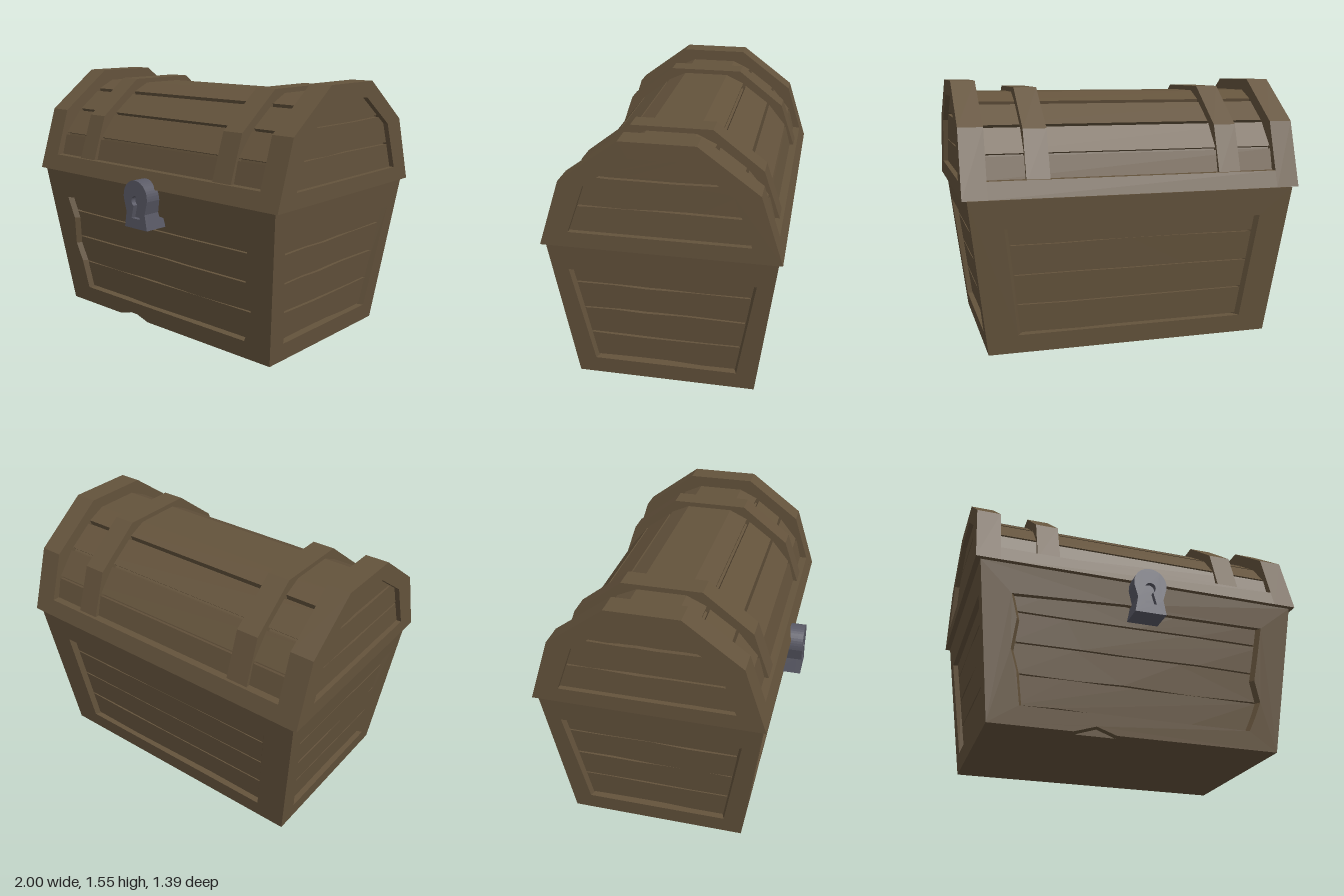
import * as THREE from 'three';

const wood = new THREE.MeshStandardMaterial({ color: 0x64533c });
wood.name = 'brown wood';
const iron = new THREE.MeshStandardMaterial({ color: 0x5a5a66 });
iron.name = 'grey iron';

const BASE_TOP = 0.915;
const SLOPE_X = 0.121, SLOPE_Z = 0.125;      // outward lean of the walls
const FOOT_X = 0.86, FOOT_Z = 0.525;         // half sizes at the ground

let seed = 7;
const jitter = (a) => {
  seed = (seed * 16807) % 2147483647;
  return (seed / 2147483647 - 0.5) * 2 * a;
};

const toShape = (pts) => new THREE.Shape(pts.map(([x, y]) => new THREE.Vector2(x, y)));
// Right half of an outline, listed bottom to top, mirrored into a full outline
const mirrored = (half) => [...half, ...half.map(([x, y]) => [-x, y]).reverse()];

function addMesh(parent, name, geometry, material = wood) {
  const mesh = new THREE.Mesh(geometry, material);
  mesh.name = name;
  parent.add(mesh);
  return mesh;
}

// Plate whose front lies at z = front + slope * y; taper mitres its inner side
function plate(shape, depth, front, slope = 0, taper = 1) {
  const geo = new THREE.ExtrudeGeometry(shape, { depth, bevelEnabled: false, curveSegments: 10 });
  const p = geo.attributes.position;
  for (let i = 0; i < p.count; i++) {
    const y = p.getY(i), z = p.getZ(i);
    if (z < depth / 2) p.setX(i, p.getX(i) * taper);
    p.setZ(i, z - depth + front + slope * y);
  }
  geo.computeVertexNormals();
  return geo;
}

// Extrudes a (z, y) outline along x
function prism(pts, x0, x1) {
  const geo = new THREE.ExtrudeGeometry(toShape(pts.map(([z, y]) => [-z, y])),
    { depth: x1 - x0, bevelEnabled: false });
  geo.rotateY(Math.PI / 2);
  geo.translate(x0, 0, 0);
  return geo;
}

// Board with uneven long edges; half(y) gives its half length
function board(y0, y1, half, knees = [], wobble = 0.012) {
  const edge = (y) => [-0.55, -0.1, 0.4].map((f) => [f * half(y) + jitter(0.08), y + jitter(wobble)]);
  const right = knees.filter((y) => y > y0 && y < y1);
  return toShape([
    [-half(y0), y0], ...edge(y0), [half(y0), y0],
    ...right.map((y) => [half(y), y]),
    [half(y1), y1], ...edge(y1).reverse(), [-half(y1), y1],
    ...right.map((y) => [-half(y), y]).reverse(),
  ]);
}

// One leaning wall: frame with an opening, and four boards set back in it
function wall(name, foot, lean, front, slope, opening, half, notch = []) {
  const g = new THREE.Group();
  g.name = name;
  const top = foot + lean * BASE_TOP;
  const frame = toShape([[-foot, 0], ...notch, [foot, 0], [top, BASE_TOP], [-top, BASE_TOP]]);
  frame.holes.push(new THREE.Path(opening.map(([x, y]) => new THREE.Vector2(x, y))));
  addMesh(g, name + 'Frame', plate(frame, 0.055, front, slope, 0.95));
  const cuts = [0.115, 0.293, 0.47, 0.65, 0.80];
  for (let i = 0; i < 4; i++) {
    const shape = board(cuts[i] + 0.005, cuts[i + 1] - 0.005, half, [], i === 3 ? 0.004 : 0.008);
    addMesh(g, name + 'Board', plate(shape, 0.025, front - 0.03, slope));
  }
  return g;
}

function buildBase() {
  const base = new THREE.Group();
  base.name = 'base';

  // Solid core behind the boards
  const core = new THREE.BoxGeometry(2, BASE_TOP, 2).toNonIndexed();
  core.translate(0, BASE_TOP / 2, 0);
  const p = core.attributes.position;
  for (let i = 0; i < p.count; i++) {
    const y = p.getY(i);
    p.setX(i, p.getX(i) * (FOOT_X - 0.05 + SLOPE_X * y));
    p.setZ(i, p.getZ(i) * (FOOT_Z - 0.05 + SLOPE_Z * y));
  }
  core.computeVertexNormals();
  addMesh(base, 'baseCore', core);

  const longHalf = (y) => 0.70 + 0.12 * y;
  const shortHalf = (y) => 0.42 + 0.165 * y;
  const worn = [[-0.69, 0.11], [0.685, 0.11], [0.72, 0.19], [0.757, 0.29], [0.72, 0.42], [0.745, 0.58],
    [0.77, 0.755], [0.12, 0.75], [-0.1, 0.775], [-0.78, 0.74], [-0.74, 0.6], [-0.76, 0.42], [-0.72, 0.3]];
  const chip = [[-0.38, 0], [-0.25, 0.04], [-0.13, 0]];
  const longOpening = mirrored([[0.69, 0.11], [0.77, 0.75]]);
  const shortOpening = mirrored([[0.385, 0.11], [0.42, 0.11], [0.525, 0.75]].slice(1));

  base.add(wall('frontWall', FOOT_X, SLOPE_X, FOOT_Z, SLOPE_Z, worn, longHalf, chip));
  const back = wall('backWall', FOOT_X, SLOPE_X, FOOT_Z, SLOPE_Z, longOpening, longHalf);
  back.rotation.y = Math.PI;
  base.add(back);
  for (const [name, s] of [['leftWall', 1], ['rightWall', -1]]) {
    const side = wall(name, FOOT_Z, SLOPE_Z, FOOT_X, SLOPE_X, shortOpening, shortHalf);
    side.rotation.y = s * Math.PI / 2;
    base.add(side);
  }
  return base;
}

function buildLid() {
  const lid = new THREE.Group();
  lid.name = 'lid';

  // Inner body under the boards
  addMesh(lid, 'lidCore', prism(mirrored([[0.59, 0.922], [0.56, 1.02], [0.52, 1.15],
    [0.405, 1.28], [0.25, 1.395], [0.13, 1.455]]), -0.945, 0.945));

  // Barrel boards, with one spanning the crown
  const inner = ([z, y]) => [z * 0.94, 0.95 + (y - 0.95) * 0.94];
  const arc = [[0.585, 1.01], [0.548, 1.15], [0.425, 1.30], [0.262, 1.42]];
  for (const s of [1, -1]) {
    for (let i = 0; i < 3; i++) {
      const a = new THREE.Vector2(...arc[i]), b = new THREE.Vector2(...arc[i + 1]);
      const from = a.clone().lerp(b, 0.05).toArray(), to = a.clone().lerp(b, 0.95).toArray();
      const pts = [from, to, inner(to), inner(from)].map(([z, y]) => [z * s, y]);
      addMesh(lid, 'lidBoard', prism(pts, -0.87, 0.87));
    }
    // Lower rail
    addMesh(lid, 'lidRail', prism([[0.66, 0.92], [0.628, 1.018], [0.56, 1.018], [0.56, 0.92]]
      .map(([z, y]) => [z * s, y]), -0.87, 0.87));
  }
  const crown = mirrored([[0.252, 1.43], [0.14, 1.482]]);
  addMesh(lid, 'crownBoard', prism([[0.24, 1.39], ...crown, [-0.24, 1.39]], -0.87, 0.87));

  // Raised straps
  const strap = mirrored([[0.615, 1.0], [0.515, 1.29], [0.23, 1.51]]);
  for (const x of [-0.5725, 0.5725]) addMesh(lid, 'strap', prism(strap, x - 0.0675, x + 0.0675));

  // End arches with set-back boards
  const half = (y) => (y < 1.285 ? 0.515 - (y - 1.01) * 0.355 : 0.417 - (y - 1.285) * 1.4);
  for (const [name, s] of [['leftEnd', 1], ['rightEnd', -1]]) {
    const end = new THREE.Group();
    end.name = name;
    const arch = toShape(mirrored([[0.66, 0.92], [0.535, 1.305], [0.205, 1.55]]));
    arch.holes.push(new THREE.Path(mirrored([[0.4975, 1.01], [0.40, 1.285], [0.155, 1.46]])
      .map(([x, y]) => new THREE.Vector2(x, y))));
    addMesh(end, 'endArch', plate(arch, 0.14, 1.0));
    const cuts = [1.0, 1.16, 1.335, 1.475];
    for (let i = 0; i < 3; i++) {
      const shape = board(cuts[i] + 0.006, cuts[i + 1] - 0.006, half, [1.285], 0.006);
      addMesh(end, 'endBoard', plate(shape, 0.025, 0.97));
    }
    end.rotation.y = s * Math.PI / 2;
    lid.add(end);
  }
  return lid;
}

function buildLock() {
  const lock = new THREE.Group();
  lock.name = 'lock';
  const outline = () => {
    const s = new THREE.Shape();
    s.moveTo(-0.095, 0.685);
    s.lineTo(0.095, 0.685);
    s.lineTo(0.078, 0.78);
    s.lineTo(0.1, 0.86);
    s.absarc(0, 0.875, 0.1, 0, Math.PI, false);
    s.lineTo(-0.1, 0.86);
    s.lineTo(-0.078, 0.78);
    return s;
  };
  const face = outline();
  const key = new THREE.Path();
  key.moveTo(-0.036, 0.745);
  key.lineTo(0.036, 0.745);
  key.lineTo(0.016, 0.82);
  key.absarc(0, 0.85, 0.032, -1.05, Math.PI + 1.05, false);
  key.lineTo(-0.016, 0.82);
  face.holes.push(key);
  addMesh(lock, 'lockFace', plate(face, 0.03, 0.732), iron);
  addMesh(lock, 'lockBody', plate(outline(), 0.13, 0.702), iron);
  lock.position.x = 0.008;
  return lock;
}

export function createModel() {
  const chest = new THREE.Group();
  chest.name = 'chest';
  chest.add(buildBase(), buildLid(), buildLock());
  chest.position.z = -0.035;
  const model = new THREE.Group();
  model.name = 'treasureChest';
  model.add(chest);
  return model;
}
